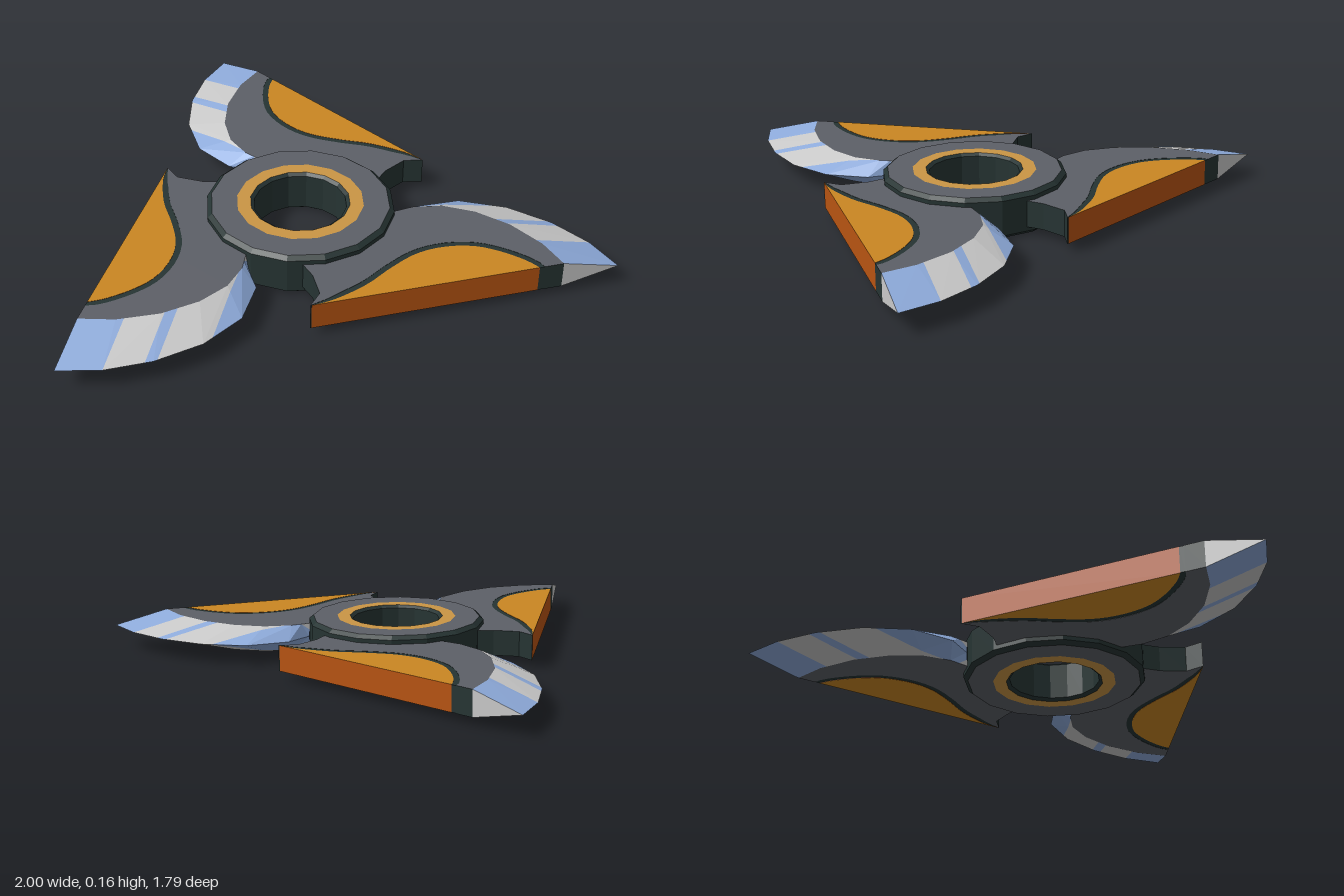
import * as THREE from 'three';

const mat = (name, color) => {
  const m = new THREE.MeshStandardMaterial({ color });
  m.name = name;
  return m;
};

const LOW = 0.03, HIGH = 0.13, MID = 0.08; // arm bottom, top and cutting edge
const REAR = 0.55; // straight side of each arm

// Outlines as [x, z] around the hub axis
const bladeRoot = [[0.32, 0.11], [0.4, 0.1], [0.505, 0.12], [0.61, 0.185], [0.705, 0.29], [0.775, 0.425], [0.805, REAR]];
const bladeEdge = [[0.33, 0.1], [0.43, 0.04], [0.6, 0.04], [0.76, 0.125], [0.885, 0.255], [0.97, 0.4], [1.015, REAR]];
const insertCurve = [[-0.105, REAR], [-0.02, 0.538], [0.105, 0.49], [0.21, 0.425], [0.32, 0.37], [0.425, 0.355],
  [0.53, 0.375], [0.61, 0.425], [0.68, 0.495], [0.715, REAR]];
const tail = [[-0.11, REAR], [-0.062, 0.495], [-0.06, 0.395], [-0.08, 0.32], [-0.07, 0.26], [0.08, 0.25], [0.2, 0.17], [0.25, 0.11]];

// Horizontal plate from an [x, z] outline
function plate(name, points, low, high, materials) {
  const shape = new THREE.Shape(points.map(([x, z]) => new THREE.Vector2(x, -z)));
  const geo = new THREE.ExtrudeGeometry(shape, { depth: high - low, bevelEnabled: false });
  geo.rotateX(-Math.PI / 2).translate(0, low, 0);
  const mesh = new THREE.Mesh(geo, materials);
  mesh.name = name;
  return mesh;
}

// Keep the part of a polygon where sign * z <= sign * limit
function clip(poly, limit, sign) {
  const out = [];
  poly.forEach((a, i) => {
    const b = poly[(i + 1) % poly.length];
    const da = sign * (limit - a[2]), db = sign * (limit - b[2]);
    if (da >= 0) out.push(a);
    if (da * db < 0) out.push(a.map((v, k) => v + (b[k] - v) * da / (da - db)));
  });
  return out;
}

function faces(name, polys, material) {
  const pos = [];
  for (const p of polys)
    for (let i = 1; i < p.length - 1; i++) pos.push(...p[0], ...p[i], ...p[i + 1]);
  const geo = new THREE.BufferGeometry();
  geo.setAttribute('position', new THREE.Float32BufferAttribute(pos, 3));
  geo.computeVertexNormals();
  const mesh = new THREE.Mesh(geo, material);
  mesh.name = name;
  return mesh;
}

function createArm(m) {
  const arm = new THREE.Group();

  // Inlay outline and the thin rim around it
  const spline = new THREE.SplineCurve(insertCurve.map(p => new THREE.Vector2(...p)));
  const inner = [], outer = [], steps = 28;
  for (let i = 0; i <= steps; i++) {
    const t = i / steps, p = spline.getPoint(t), d = spline.getTangent(t);
    const w = 0.022 * Math.min(1, 0.1 + 6 * t);
    inner.push([p.x, p.y]);
    outer.push([p.x + d.y * w, i === steps ? REAR : Math.min(REAR, p.y - d.x * w)]);
  }
  arm.add(
    plate('armBody', [...bladeRoot, ...outer.slice().reverse(), ...tail], LOW, HIGH, [m.grey, m.dark]),
    plate('inlayRim', [...outer, ...inner.slice().reverse()], LOW + 0.001, HIGH - 0.001, m.dark),
    plate('inlay', inner, LOW, HIGH, [m.orange, m.rust])
  );

  // Bevelled blade, cut into bands parallel to the straight side
  const quads = [];
  for (let i = 0; i < bladeRoot.length - 1; i++) {
    const at = ([x, z], y) => [x, y, z];
    const ring = y => [at(bladeRoot[i], y), at(bladeRoot[i + 1], y), at(bladeEdge[i + 1], MID), at(bladeEdge[i], MID)];
    quads.push(ring(HIGH), ring(LOW).reverse());
  }
  const levels = [-1, 0.105, 0.245, 0.28, 0.4, 1];
  const bands = { blue: [], steel: [] };
  for (let b = 0; b < levels.length - 1; b++)
    for (const q of quads) {
      const piece = clip(clip(q, levels[b + 1], 1), levels[b], -1);
      if (piece.length > 2) bands[b % 2 ? 'steel' : 'blue'].push(piece);
    }
  bands.steel.push([[0.805, HIGH, REAR], [0.805, LOW, REAR], [1.015, MID, REAR]]); // flat end
  arm.add(faces('bladeBlueBands', bands.blue, m.blue), faces('bladeSteelBands', bands.steel, m.steel));
  return arm;
}

// Faceted ring surface from a [radius, y] profile
function turned(name, profile, material) {
  const geo = new THREE.LatheGeometry(profile.map(p => new THREE.Vector2(...p)), 16).toNonIndexed();
  geo.computeVertexNormals();
  const mesh = new THREE.Mesh(geo, material);
  mesh.name = name;
  return mesh;
}

function createHub(m) {
  const hub = new THREE.Group();
  hub.name = 'hub';
  hub.add(
    turned('hubWall', [[0.328, 0], [0.345, 0.014], [0.345, 0.146], [0.328, 0.16]], m.dark),
    turned('hubTop', [[0.328, 0.16], [0.233, 0.16]], m.grey),
    turned('goldRingTop', [[0.233, 0.16], [0.183, 0.16]], m.gold),
    turned('boreWall', [[0.183, 0.16], [0.17, 0.15], [0.17, 0.01], [0.183, 0]], m.dark),
    turned('goldRingBottom', [[0.183, 0], [0.233, 0]], m.gold),
    turned('hubBottom', [[0.233, 0], [0.328, 0]], m.grey)
  );
  return hub;
}

export function createModel() {
  const m = {
    grey: mat('gunmetal grey', 0x5d6067),
    dark: mat('dark slate', 0x263433),
    orange: mat('amber', 0xcb8722),
    rust: mat('rust orange', 0xb85412),
    gold: mat('gold', 0xcb9645),
    blue: mat('steel blue', 0x8eabdb),
    steel: mat('light steel', 0xc9c9c9)
  };
  const model = new THREE.Group();
  model.name = 'throwingStar';
  const star = new THREE.Group();
  star.name = 'star';
  star.position.set(-0.018, 0, 0.245);
  star.add(createHub(m));
  // Three identical arms
  for (let i = 0; i < 3; i++) {
    const arm = createArm(m);
    arm.name = `arm${i + 1}`;
    arm.rotation.y = i * Math.PI * 2 / 3;
    star.add(arm);
  }
  model.add(star);
  return model;
}
